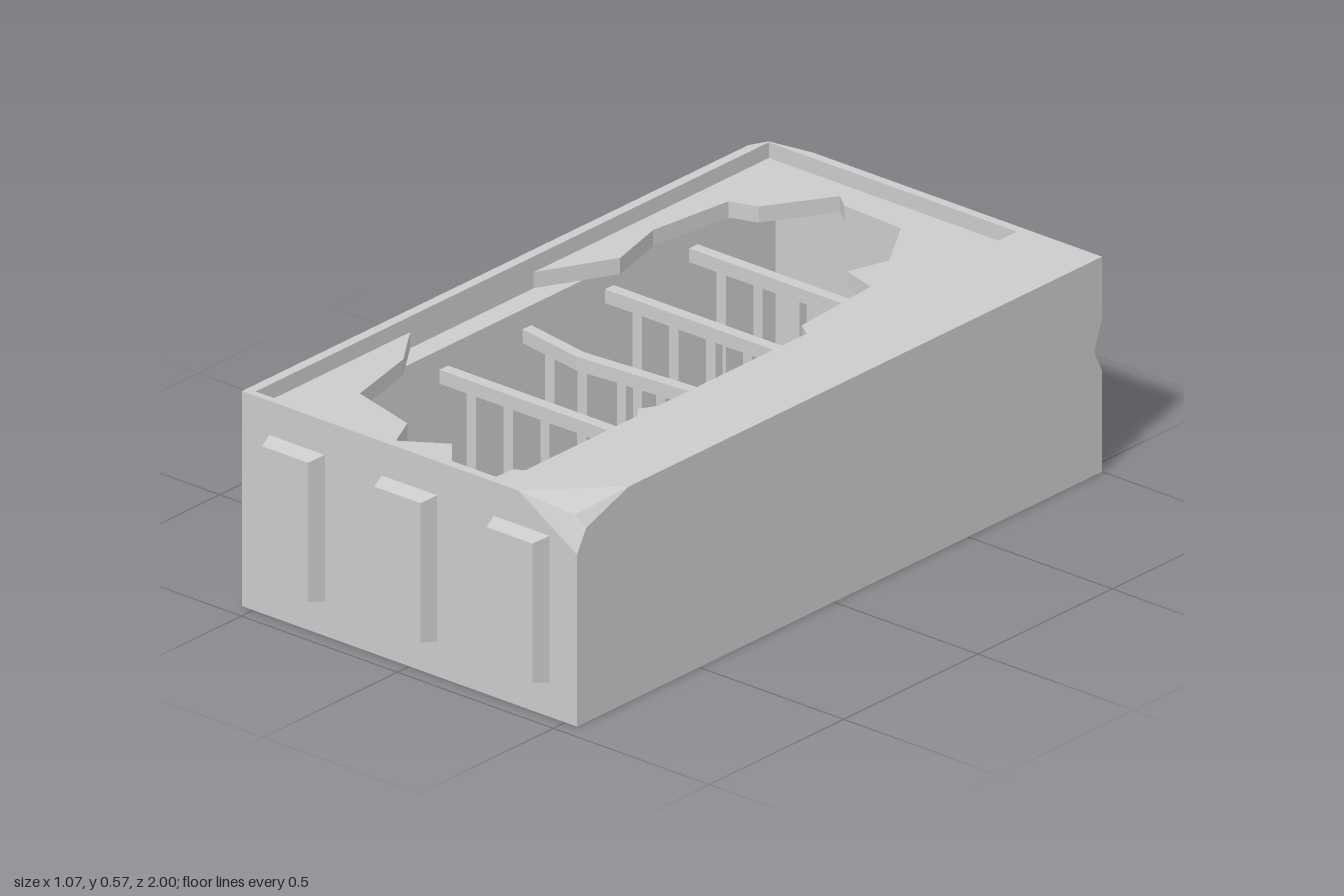
import * as THREE from 'three';

const material = new THREE.MeshStandardMaterial({ color: 0xcccccc, flatShading: true });

// Main dimensions
const W = 0.537, TOP = 0.575, BACK = -1, FRONT = 0.955;
const LEDGE = 0.49, FLOOR = 0.03;
const recess = { x0: -0.51, x1: 0.285, z0: -0.975, z1: 0.935 };
const pit = { x0: -0.45, x1: 0.22, z0: -0.93, z1: 0.79 };
const SLOPE_FOOT = 0.55;

function addMesh(parent, geometry, name) {
  const mesh = new THREE.Mesh(geometry, material);
  mesh.name = name;
  parent.add(mesh);
  return mesh;
}

// Collects flat polygons, each turned to face along a given direction
function createSurface() {
  const positions = [];
  function face(out, loop, hole = []) {
    const n = new THREE.Vector3(...out);
    const size = n.toArray().map(Math.abs);
    const drop = size.indexOf(Math.max(...size));
    const flat = (p) => new THREE.Vector2(p[(drop + 1) % 3], p[(drop + 2) % 3]);
    const all = [...loop, ...hole].map((p) => new THREE.Vector3(...p));
    const tris = THREE.ShapeUtils.triangulateShape(loop.map(flat), hole.length ? [hole.map(flat)] : []);
    for (const [i, j, k] of tris) {
      const a = all[i], b = all[j], c = all[k];
      const normal = b.clone().sub(a).cross(c.clone().sub(a));
      const order = normal.dot(n) > 0 ? [a, b, c] : [a, c, b];
      order.forEach((v) => positions.push(v.x, v.y, v.z));
    }
  }
  function geometry() {
    const g = new THREE.BufferGeometry();
    g.setAttribute('position', new THREE.Float32BufferAttribute(positions, 3));
    g.computeVertexNormals();
    return g;
  }
  return { face, geometry };
}

const rectLoop = (r, y) => [[r.x0, y, r.z0], [r.x1, y, r.z0], [r.x1, y, r.z1], [r.x0, y, r.z1]];

// Outer block with two chipped corners and a nicked edge
function createBlock() {
  const s = createSurface();
  const chipA = [0.35, TOP, FRONT], chipB = [W, TOP, 0.76], chipC = [W, 0.46, FRONT];
  const chipP = [0.51, 0.55, 0.932], chipQ = [W, 0.52, 0.92];
  const backA = [-0.39, TOP, BACK], backB = [-W, TOP, -0.93], backC = [-W, 0.42, BACK];
  const backP = [-0.522, 0.55, -0.988], backM = [-0.514, TOP, -0.979];
  const nickT = [W, 0.41, BACK], nickB = [W, 0.27, BACK], nickR = [W, 0.33, -0.97], nickK = [0.492, 0.32, BACK];

  s.face([0, 1, 0], [backA, [W, TOP, BACK], chipB, chipA, [-W, TOP, FRONT], backB, backM], rectLoop(recess, TOP));
  s.face([0, -1, 0], rectLoop({ x0: -W, x1: W, z0: BACK, z1: FRONT }, 0));
  s.face([0, 0, 1], [[-W, 0, FRONT], [W, 0, FRONT], chipC, chipA, [-W, TOP, FRONT]]);
  s.face([1, 0, 0], [[W, 0, FRONT], [W, 0, BACK], nickB, nickR, nickT, [W, TOP, BACK], chipB, chipQ, chipC]);
  s.face([0, 0, -1], [[W, 0, BACK], [-W, 0, BACK], backC, backA, [W, TOP, BACK], nickT, nickK, nickB]);
  s.face([-1, 0, 0], [[-W, 0, BACK], [-W, 0, FRONT], [-W, TOP, FRONT], backB, backC]);

  // Chip facets fan out from a point near each corner
  for (const [rim, p, dir] of [
    [[chipA, chipB, chipQ, chipC], chipP, [1, 1.2, 1.1]],
    [[backA, backM, backB, backC], backP, [-1.1, 1, -1.2]],
  ]) {
    rim.forEach((a, i) => s.face(dir, [a, rim[(i + 1) % rim.length], p]));
  }
  s.face([0.5, -1, -0.5], [nickT, nickR, nickK]);
  s.face([0.5, 1, -0.5], [nickB, nickR, nickK]);
  return s.geometry();
}

// Stepped recess, pit and sloped end wall with a niche
function createInterior() {
  const s = createSurface();
  const { x0, x1, z0, z1 } = pit;

  const upper = rectLoop(recess, TOP), lower = rectLoop(recess, LEDGE);
  const inward = [[0, 0, 1], [-1, 0, 0], [0, 0, -1], [1, 0, 0]];
  inward.forEach((dir, i) => {
    const j = (i + 1) % 4;
    s.face(dir, [upper[i], upper[j], lower[j], lower[i]]);
  });
  s.face([0, 1, 0], lower, rectLoop(pit, LEDGE));

  s.face([0, 1, 0], rectLoop({ x0, x1, z0, z1: SLOPE_FOOT }, FLOOR));
  s.face([0, 0, 1], [[x0, FLOOR, z0], [x1, FLOOR, z0], [x1, LEDGE, z0], [x0, LEDGE, z0]]);
  for (const [x, dir] of [[x0, 1], [x1, -1]]) {
    s.face([dir, 0, 0], [[x, FLOOR, z0], [x, FLOOR, SLOPE_FOOT], [x, LEDGE, z1], [x, LEDGE, z0]]);
  }

  // Slope and niche
  const slopeY = (z) => FLOOR + ((z - SLOPE_FOOT) / (z1 - SLOPE_FOOT)) * (LEDGE - FLOOR);
  const n = { x0: -0.36, x1: 0.13, z0: 0.635, z1: 0.765 };
  const low = slopeY(n.z0), high = slopeY(n.z1);
  s.face([0, 0.46, -0.89],
    [[x0, FLOOR, SLOPE_FOOT], [x1, FLOOR, SLOPE_FOOT], [x1, LEDGE, z1], [x0, LEDGE, z1]],
    [[n.x0, low, n.z0], [n.x1, low, n.z0], [n.x1, high, n.z1], [n.x0, high, n.z1]]);
  s.face([0, 1, 0], rectLoop(n, low));
  s.face([0, 0, -1], [[n.x0, low, n.z1], [n.x1, low, n.z1], [n.x1, high, n.z1], [n.x0, high, n.z1]]);
  for (const [x, dir] of [[n.x0, 1], [n.x1, -1]]) {
    s.face([dir, 0, 0], [[x, low, n.z0], [x, low, n.z1], [x, high, n.z1]]);
  }
  return s.geometry();
}

// Horizontal slab from an outline of [x, z] points
function createSlab(outline, y0, y1) {
  const shape = new THREE.Shape(outline.map(([x, z]) => new THREE.Vector2(x, -z)));
  const g = new THREE.ExtrudeGeometry(shape, { depth: y1 - y0, bevelEnabled: false });
  return g.rotateX(-Math.PI / 2).translate(0, y0, 0);
}

// Raised panel with sloping edges
function createPanel() {
  const depth = 1 - FRONT;
  const g = new THREE.BoxGeometry(0.178, 0.392, depth);
  const p = g.attributes.position;
  for (let i = 0; i < p.count; i++) {
    if (p.getZ(i) > 0) p.setXY(i, p.getX(i) * 0.83, p.getY(i) * 0.95);
  }
  g.computeVertexNormals();
  return g.translate(0, 0.288, FRONT + depth / 2);
}

export function createModel() {
  const model = new THREE.Group();
  model.name = 'brokenCoveredPit';
  addMesh(model, createBlock(), 'block');
  addMesh(model, createInterior(), 'pitInterior');

  for (const x of [-0.36, 0, 0.36]) addMesh(model, createPanel(), 'frontPanel').position.x = x;

  // Remains of the broken cover
  const { x0, x1, z0, z1 } = recess;
  const coverPieces = {
    backCover: [[x0, z0], [x1, z0], [x1, -0.22], [0.185, -0.29], [0.165, -0.57], [0.065, -0.6],
      [0.1, -0.715], [0, -0.875], [-0.19, -0.885], [-0.235, -0.92], [-0.345, -0.745],
      [-0.42, -0.72], [-0.45, -0.475], [-0.405, -0.3], [x0, -0.1]],
    frontCover: [[x0, 0.36], [-0.42, 0.49], [-0.37, 0.71], [-0.17, 0.765], [-0.125, 0.86],
      [-0.01, 0.785], [0.12, z1], [x0, z1]],
    sideCover: [[x1, 0.08], [0.225, 0.19], [0.25, 0.25], [0.2, 0.335], [x1, 0.45]],
    cornerCover: [[x1, 0.75], [0.2, 0.8], [0.19, z1], [x1, z1]],
  };
  for (const [name, outline] of Object.entries(coverPieces)) {
    addMesh(model, createSlab(outline, LEDGE, 0.533), name);
  }

  // Barred partitions: a top beam on a row of posts, one of them bent
  for (const [z, bend] of [[-0.625, 0], [-0.312, 0], [-0.005, 0.035], [0.305, 0]]) {
    const partition = new THREE.Group();
    partition.name = 'barredPartition';
    const kink = -0.25, half = 0.016;
    const offset = (x) => bend * (x < kink ? (x - pit.x0) / (kink - pit.x0) : (pit.x1 - x) / (pit.x1 - kink));
    const xs = [pit.x0, kink, pit.x1];
    const outline = [
      ...xs.map((x) => [x, z + offset(x) - half]),
      ...xs.slice().reverse().map((x) => [x, z + offset(x) + half]),
    ];
    addMesh(partition, createSlab(outline, 0.4, 0.437), 'topBeam');
    for (let i = 0; i < 5; i++) {
      const x = -0.35 + i * 0.118;
      const post = addMesh(partition, new THREE.BoxGeometry(0.03, 0.4 - FLOOR, 0.026), 'post');
      post.position.set(x, (0.4 + FLOOR) / 2, z + offset(x));
    }
    model.add(partition);
  }
  return model;
}
